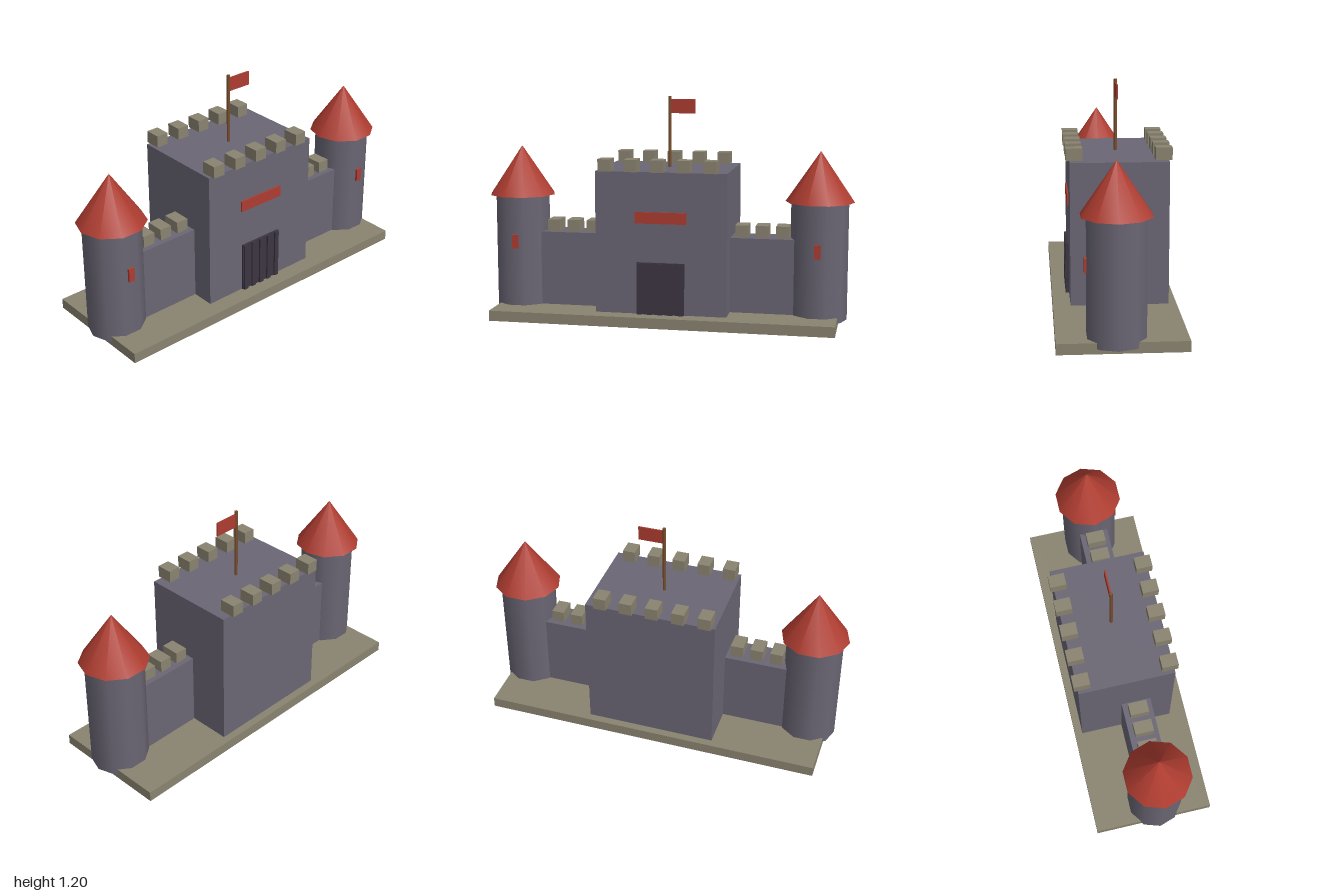
import * as THREE from 'three';

const mat = (name, color) => Object.assign(new THREE.MeshStandardMaterial({ color }), { name });

export function createModel() {
  const stone = mat('grey stone', 0x6a6674);
  const trim = mat('sand stone', 0x8a8370);
  const red = mat('roof red', 0xae3c30);
  const dark = mat('dark gate', 0x3c3542);
  const wood = mat('pole wood', 0x7a5030);

  const castle = new THREE.Group();
  castle.name = 'castle';

  const add = (name, geometry, material, x, y, z) => {
    const mesh = new THREE.Mesh(geometry, material);
    mesh.name = name;
    mesh.position.set(x, y, z);
    castle.add(mesh);
    return mesh;
  };
  // Box given by its ranges along each axis
  const box = (name, material, x0, x1, y0, y1, z0, z1) =>
    add(name, new THREE.BoxGeometry(x1 - x0, y1 - y0, z1 - z0), material,
      (x0 + x1) / 2, (y0 + y1) / 2, (z0 + z1) / 2);

  // Ground slab and main keep
  box('base', trim, -0.925, 0.925, 0, 0.056, -0.325, 0.325);
  box('keep', stone, -0.3525, 0.3525, 0.03, 0.816, -0.283, 0.2325);

  // Battlements along the front and back of the keep
  for (let i = 0; i < 5; i++) {
    const x = -0.3 + i * 0.1415;
    box('keepMerlonFront', trim, x - 0.034, x + 0.034, 0.816, 0.881, 0.1645, 0.2515);
    box('keepMerlonBack', trim, x - 0.034, x + 0.034, 0.816, 0.881, -0.302, -0.215);
  }

  // Gate: backing plate with raised vertical bars
  box('gate', dark, -0.128, 0.128, 0.056, 0.335, 0.23, 0.242);
  for (let i = 0; i < 5; i++) {
    const x = -0.11 + i * 0.055;
    box('gateBar', dark, x - 0.013, x + 0.013, 0.056, 0.332, 0.24, 0.251);
  }

  // Sign band over the gate
  box('banner', red, -0.138, 0.138, 0.544, 0.605, 0.232, 0.241);

  // Side walls and round towers, mirrored
  for (const s of [-1, 1]) {
    const zc = 0.027;
    add('wall', new THREE.BoxGeometry(0.36, 0.43, 0.16), stone, s * 0.512, 0.245, zc);
    for (let i = 0; i < 3; i++) {
      add('wallMerlon', new THREE.BoxGeometry(0.068, 0.064, 0.102), trim, s * (0.409 + i * 0.109), 0.492, zc);
    }
    // Ten sides with a corner pointing along x
    add('tower', new THREE.CylinderGeometry(0.152, 0.152, 0.63, 10, 1, false, Math.PI / 2), stone, s * 0.818, 0.342, zc);
    add('towerRoof', new THREE.ConeGeometry(0.182, 0.268, 10, 1, false, Math.PI / 2), red, s * 0.818, 0.79, zc);
    add('towerWindow', new THREE.BoxGeometry(0.034, 0.074, 0.016), red, s * 0.818, 0.412, 0.176);
  }

  // Flag on its pole
  add('flagPole', new THREE.CylinderGeometry(0.009, 0.009, 0.39, 8), wood, 0, 1.005, -0.027);
  box('flag', red, 0.004, 0.14, 1.108, 1.184, -0.031, -0.023);

  return castle;
}
